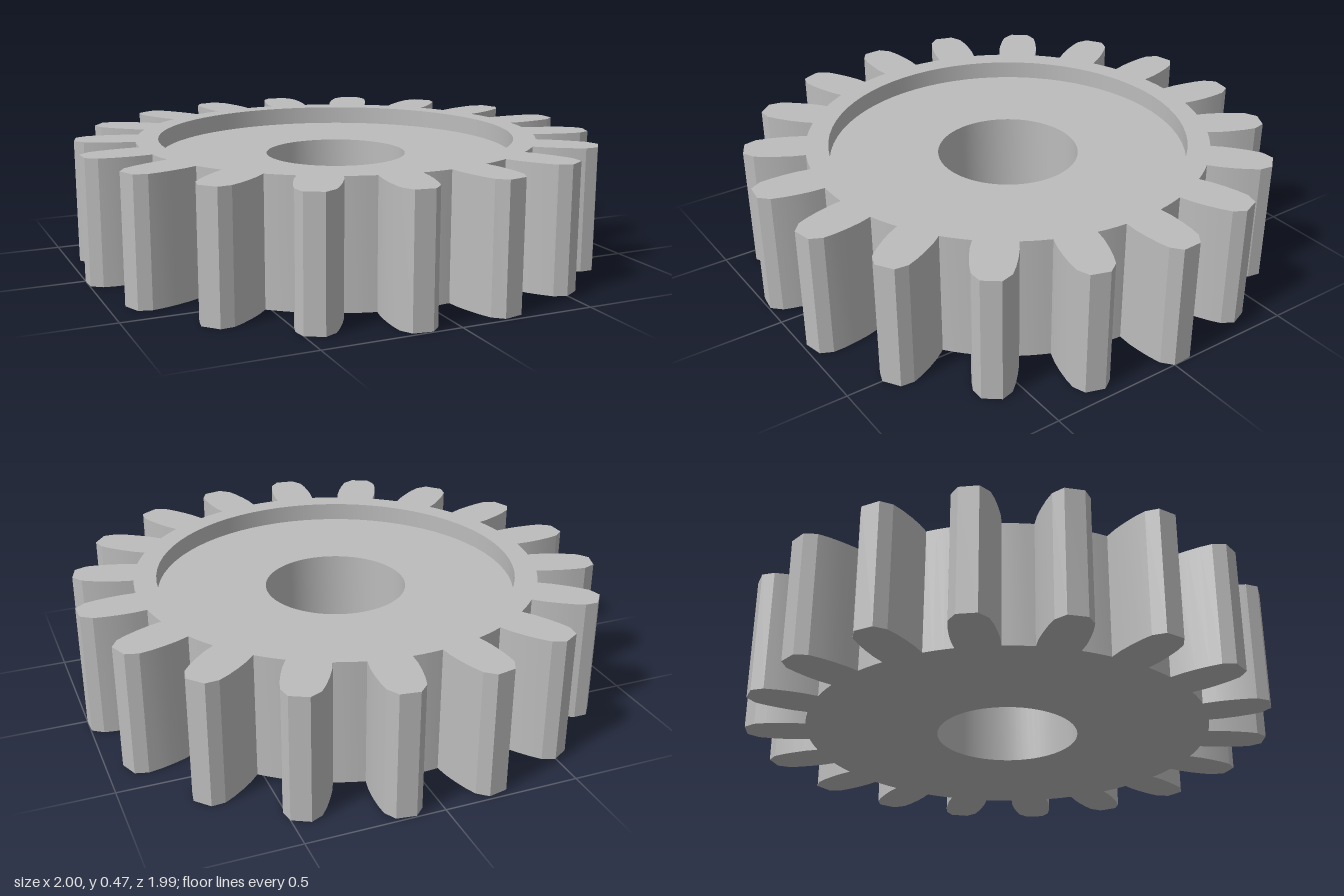
import * as THREE from 'three';
import { toCreasedNormals } from 'three/addons/utils/BufferGeometryUtils.js';

const TEETH = 18, PITCH = 360 / TEETH, OFFSET = -2;
const HEIGHT = 0.47, FLOOR = 0.4;
const ROOT = 0.77, RECESS = 0.685, BORE = 0.27, SEGMENTS = 72;

// Half a tooth: radius and half angle in degrees, from root to tip
const FLANK = [[ROOT, 5.8], [0.82, 5.7], [0.87, 5.25], [0.92, 4.65], [0.962, 3.95], [1, 2.05]];

const polar = (r, deg) => {
  const a = THREE.MathUtils.degToRad(deg);
  return new THREE.Vector2(r * Math.cos(a), r * Math.sin(a));
};

function gearOutline() {
  const points = [];
  for (let i = 0; i < TEETH; i++) {
    const mid = OFFSET + i * PITCH;
    for (const [r, a] of FLANK) points.push(polar(r, mid - a));
    for (const [r, a] of [...FLANK].reverse()) points.push(polar(r, mid + a));
    // Root arc to the next tooth
    for (const t of [0.33, 0.67]) {
      points.push(polar(ROOT, mid + 5.8 + t * (PITCH - 11.6)));
    }
  }
  return new THREE.Shape(points);
}

export function createModel() {
  const gear = new THREE.Group();
  gear.name = 'spurGear';
  const steel = new THREE.MeshStandardMaterial({ color: 0xbcbcbc });
  steel.name = 'grey metal';

  // Toothed rim, full height, with the round recess wall inside
  const outline = gearOutline();
  const circle = [];
  for (let i = 0; i < SEGMENTS; i++) circle.push(polar(RECESS, (i * 360) / SEGMENTS));
  outline.holes.push(new THREE.Path(circle));
  const rimShape = new THREE.ExtrudeGeometry(outline, { depth: HEIGHT, bevelEnabled: false });
  rimShape.rotateX(Math.PI / 2).translate(0, HEIGHT, 0);
  const rim = new THREE.Mesh(toCreasedNormals(rimShape, 0.3), steel);
  rim.name = 'toothedRim';

  // Web: sunken floor, bore wall and flat underside
  const profile = [[RECESS, FLOOR], [BORE, FLOOR], [BORE, 0], [RECESS, 0]];
  const webShape = new THREE.LatheGeometry(profile.map(([x, y]) => new THREE.Vector2(x, y)), SEGMENTS);
  const web = new THREE.Mesh(toCreasedNormals(webShape, 0.5), steel);
  web.name = 'webWithBore';

  gear.add(rim, web);
  return gear;
}
